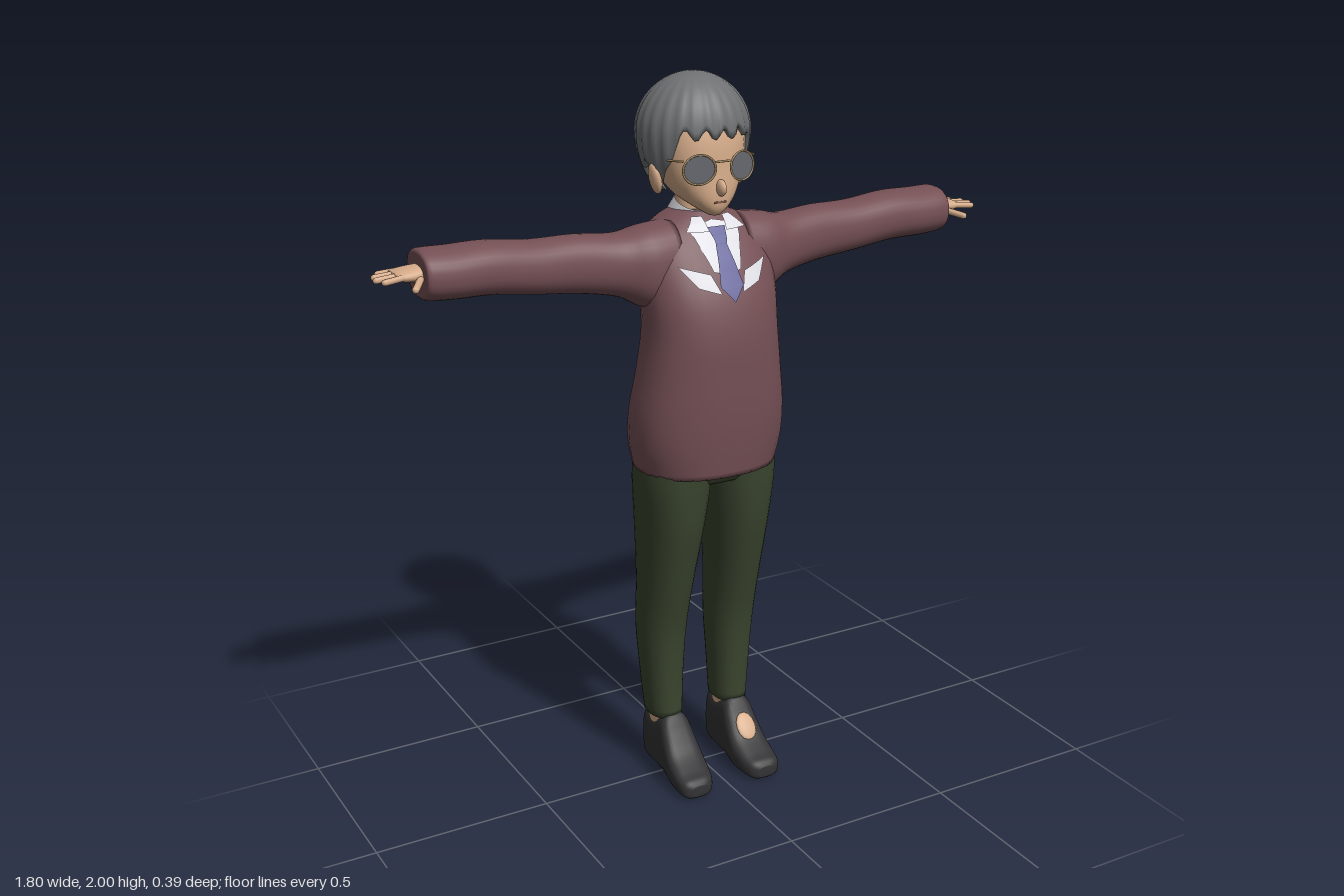
import * as THREE from 'three';

const material = (name, color, side = THREE.FrontSide) => {
  const m = new THREE.MeshStandardMaterial({ color, side });
  m.name = name;
  return m;
};

// Smoothly samples rows of [position, a0, a1, b0, b1] at u = 0..rows-1
function sampleRow(rows, u) {
  const last = rows.length - 1, i = Math.min(Math.floor(u), last - 1), f = u - i;
  const at = k => rows[Math.max(0, Math.min(last, k))];
  return rows[0].map((_, c) => {
    const [p, q, r, s] = [at(i - 1)[c], at(i)[c], at(i + 1)[c], at(i + 2)[c]];
    return q + 0.5 * f * (r - p + f * (2 * p - 5 * q + 4 * r - s + f * (3 * (q - r) + s - p)));
  });
}

function gridGeometry(points, index) {
  const g = new THREE.BufferGeometry();
  g.setAttribute('position', new THREE.Float32BufferAttribute(points, 3));
  g.setIndex(index);
  g.computeVertexNormals();
  return g;
}

// Rounded cross-sections along an axis: y has x/z extents, x has y/z extents, z has x/y extents
function loft(axis, rows, power = 2.3, sides = 32, steps = 4) {
  const pts = [], idx = [], count = (rows.length - 1) * steps;
  const place = (t, a, b) => pts.push(...(axis === 'y' ? [a, t, b] : axis === 'x' ? [t, a, b] : [a, b, t]));
  const face = (a, b, c) => idx.push(...(axis === 'y' ? [a, b, c] : [a, c, b]));
  const bend = v => Math.sign(v) * Math.abs(v) ** (2 / power);
  for (let i = 0; i <= count; i++) {
    const [t, a0, a1, b0, b1] = sampleRow(rows, i / steps);
    for (let j = 0; j < sides; j++) {
      const w = j / sides * Math.PI * 2;
      place(t, (a0 + a1) / 2 + (a1 - a0) / 2 * bend(Math.cos(w)), (b0 + b1) / 2 + (b1 - b0) / 2 * bend(Math.sin(w)));
    }
  }
  for (let i = 0; i < count; i++) for (let j = 0; j < sides; j++) {
    const a = i * sides + j, b = i * sides + (j + 1) % sides;
    face(a, a + sides, b);
    face(b, a + sides, b + sides);
  }
  [0, count].forEach(i => {
    const [t, a0, a1, b0, b1] = rows[i ? rows.length - 1 : 0], c = pts.length / 3;
    place(t, (a0 + a1) / 2, (b0 + b1) / 2);
    for (let j = 0; j < sides; j++) {
      const a = i * sides + j, b = i * sides + (j + 1) % sides;
      i ? face(a, c, b) : face(a, b, c);
    }
  });
  return gridGeometry(pts, idx);
}

const torsoRows = [
  [0.95, -0.197, 0.197, -0.15, 0.175], [1.03, -0.214, 0.214, -0.148, 0.185],
  [1.12, -0.214, 0.214, -0.135, 0.192], [1.22, -0.2, 0.2, -0.115, 0.195],
  [1.34, -0.186, 0.186, -0.1, 0.193], [1.44, -0.188, 0.188, -0.098, 0.17],
  [1.53, -0.185, 0.185, -0.1, 0.125], [1.59, -0.165, 0.165, -0.1, 0.085],
  [1.625, -0.12, 0.12, -0.1, 0.055], [1.65, -0.06, 0.06, -0.09, 0.03]];

// Depth of the chest surface
function chestZ(x, y) {
  let i = 0;
  while (i < torsoRows.length - 2 && torsoRows[i + 1][0] < y) i++;
  const f = Math.min(1, (y - torsoRows[i][0]) / (torsoRows[i + 1][0] - torsoRows[i][0]));
  const r = sampleRow(torsoRows, i + f);
  return (r[3] + r[4]) / 2 + (r[4] - r[3]) / 2 * Math.max(0, 1 - Math.abs(x / r[2]) ** 2.3) ** (1 / 2.3);
}

// Cloth patch laid over the chest: corners run counter-clockwise from lower left
function patch([a, b, c, d], lift, n = 8) {
  const pts = [], idx = [], mix = THREE.MathUtils.lerp;
  for (let j = 0; j <= n; j++) for (let i = 0; i <= n; i++) {
    const [x, y] = [0, 1].map(k => mix(mix(a[k], b[k], i / n), mix(d[k], c[k], i / n), j / n));
    pts.push(x, y, chestZ(x, y) + lift);
    if (i < n && j < n) {
      const k = j * (n + 1) + i;
      idx.push(k, k + 1, k + n + 1, k + 1, k + n + 2, k + n + 1);
    }
  }
  return gridGeometry(pts, idx);
}

// Hair cap whose lower edge changes with the angle from the front
function hairCap() {
  const pts = [], idx = [], cols = 96, rows = 16, smooth = THREE.MathUtils.smoothstep;
  for (let j = 0; j <= cols; j++) {
    const w = j / cols * Math.PI * 2, q = Math.abs(w > Math.PI ? w - Math.PI * 2 : w);
    let edge = 1.855 - 0.115 * smooth(q, 0.65, 1.15) + 0.03 * smooth(q, 1.3, 1.5) - 0.075 * smooth(q, 1.75, 2.2);
    edge += 0.014 * Math.sin(w * 16 + Math.sin(w * 3));
    const end = Math.acos((edge - 1.85) / (edge > 1.85 ? 0.15 : 0.2));
    for (let i = 0; i <= rows; i++) {
      const p = end * Math.min(i, rows - 1) / (rows - 1), tuck = i === rows ? 0.88 : 1;
      const r = Math.sin(p) * (1 + 0.018 * Math.sin(w * 24) * Math.sin(p)) * tuck, h = Math.cos(p);
      pts.push(0.152 * r * Math.sin(w), 1.85 + h * (h > 0 ? 0.15 : 0.2), -0.045 + 0.146 * r * Math.cos(w));
      if (i < rows && j < cols) {
        const k = j * (rows + 1) + i;
        idx.push(k, k + 1, k + rows + 1, k + 1, k + rows + 2, k + rows + 1);
      }
    }
  }
  return gridGeometry(pts, idx);
}

// Rounded rod between two points
function rod(from, to, radius) {
  const a = new THREE.Vector3(...from), b = new THREE.Vector3(...to), d = b.clone().sub(a);
  const g = new THREE.CapsuleGeometry(radius, d.length(), 4, 8);
  g.applyQuaternion(new THREE.Quaternion().setFromUnitVectors(new THREE.Vector3(0, 1, 0), d.normalize()));
  return g.translate(...a.add(b).multiplyScalar(0.5).toArray());
}

export function createModel() {
  const skin = material('skin', 0xd6ac8a);
  const hair = material('hair grey', 0x6e7072, THREE.DoubleSide);
  const knit = material('sweater maroon', 0x755055);
  const cloth = material('trouser green', 0x3a442e);
  const leather = material('shoe black', 0x333335);
  const white = material('shirt white', 0xdedee4, THREE.DoubleSide);
  const violet = material('tie violet', 0x66659c, THREE.DoubleSide);
  const glass = material('lens grey', 0x66696f, THREE.DoubleSide);
  const metal = material('frame tan', 0xa58a62);
  const dark = material('mouth brown', 0x805848);

  const model = new THREE.Group();
  const add = (name, geometry, mat, parent = model) => {
    const mesh = new THREE.Mesh(geometry, mat);
    mesh.name = name;
    parent.add(mesh);
    return mesh;
  };

  // Head and neck
  add('head', loft('y', [
    [1.645, -0.015, 0.015, 0.045, 0.085], [1.665, -0.045, 0.045, -0.01, 0.098],
    [1.7, -0.082, 0.082, -0.09, 0.102], [1.76, -0.112, 0.112, -0.13, 0.098],
    [1.84, -0.125, 0.125, -0.15, 0.092], [1.91, -0.11, 0.11, -0.14, 0.07], [1.95, -0.06, 0.06, -0.09, 0.02]]), skin);
  add('neck', new THREE.CylinderGeometry(0.05, 0.056, 0.14, 20).translate(0, 1.65, -0.035), skin);
  add('nose', new THREE.SphereGeometry(1, 12, 8).scale(0.012, 0.022, 0.024).translate(0, 1.72, 0.104), skin);
  add('mouth', new THREE.BoxGeometry(0.034, 0.005, 0.006).translate(0, 1.682, 0.1), dark);
  add('hair', hairCap(), hair);
  add('glassesBridge', rod([-0.02, 1.79, 0.113], [0.02, 1.79, 0.113], 0.003), metal);

  // Sweater body, hips, shirt collar and tie
  add('sweaterBody', loft('y', torsoRows), knit);
  add('hips', loft('y', [
    [0.915, -0.19, 0.19, -0.11, 0.12], [0.95, -0.192, 0.192, -0.115, 0.14], [1.02, -0.19, 0.19, -0.115, 0.14]]), cloth);
  const collar = add('collarBand', new THREE.CylinderGeometry(0.06, 0.078, 0.055, 28, 1, true), white);
  collar.position.set(0, 1.642, -0.03);
  collar.rotation.x = 0.35;
  add('tieKnot', patch([[-0.016, 1.575], [0.016, 1.575], [0.026, 1.615], [-0.026, 1.615]], 0.016), violet);
  add('tieBlade', patch([[-0.034, 1.475], [0.034, 1.475], [0.015, 1.58], [-0.015, 1.58]], 0.012), violet);
  add('tieTip', patch([[0, 1.435], [0, 1.435], [0.034, 1.475], [-0.034, 1.475]], 0.012), violet);

  // Everything that comes in left and right pairs
  for (const side of [1, -1]) {
    const half = new THREE.Group();
    half.name = side > 0 ? 'leftSide' : 'rightSide';
    half.scale.x = side;
    model.add(half);
    const part = (name, geometry, mat) => add(name, geometry, mat, half);

    part('ear', new THREE.SphereGeometry(1, 14, 10).scale(0.014, 0.042, 0.026).rotateZ(-0.2).translate(0.125, 1.735, -0.02), skin);
    const lens = new THREE.CircleGeometry(1, 28).scale(0.043, 0.038, 1);
    const rim = new THREE.TorusGeometry(1, 0.07, 6, 28).scale(0.043, 0.038, 0.04);
    [[lens, glass, 'lens'], [rim, metal, 'lensRim']].forEach(([g, m, name]) =>
      part(name, g.rotateZ(-0.2).rotateY(0.3).translate(0.063, 1.772, 0.104), m));
    part('glassesArm', rod([0.104, 1.795, 0.09], [0.13, 1.785, -0.02], 0.003), metal);

    part('shirtFront', patch([[0, 1.5], [0.04, 1.51], [0.075, 1.615], [0, 1.63]], 0.006), white);
    part('shirtWing', patch([[0.03, 1.455], [0.09, 1.475], [0.13, 1.528], [0.05, 1.505]], 0.006), white);
    part('collarFlap', patch([[0.025, 1.605], [0.088, 1.607], [0.055, 1.64], [0.03, 1.64]], 0.02), white);

    // Sleeve and hand
    part('sleeve', loft('x', [
      [0.1, 1.4, 1.63, -0.09, 0.09], [0.18, 1.405, 1.622, -0.095, 0.09], [0.25, 1.44, 1.607, -0.088, 0.065],
      [0.36, 1.462, 1.615, -0.085, 0.05], [0.48, 1.475, 1.615, -0.092, 0.05], [0.6, 1.49, 1.627, -0.1, 0.052],
      [0.7, 1.492, 1.625, -0.11, 0.055], [0.77, 1.497, 1.625, -0.11, 0.05], [0.782, 1.51, 1.615, -0.1, 0.04]]), knit);
    part('palm', loft('x', [
      [0.76, 1.545, 1.59, -0.06, 0.01], [0.8, 1.548, 1.585, -0.072, 0.016],
      [0.83, 1.552, 1.58, -0.074, 0.014], [0.845, 1.558, 1.574, -0.07, 0.01]]), skin);
    [0.88, 0.892, 0.887, 0.868].forEach((x, i) =>
      part('finger', rod([0.83, 1.567, 0.006 - i * 0.024], [x, 1.563, 0.014 - i * 0.029], 0.0085), skin));
    part('thumb', rod([0.785, 1.56, 0.005], [0.82, 1.548, 0.06], 0.0095), skin);

    // Trouser leg, ankle and shoe
    part('trouserLeg', loft('y', [
      [0.18, 0.058, 0.155, -0.1, 0.03], [0.3, 0.053, 0.165, -0.11, 0.032], [0.45, 0.045, 0.175, -0.122, 0.045],
      [0.6, 0.038, 0.178, -0.116, 0.08], [0.78, 0.02, 0.188, -0.118, 0.122], [0.9, 0.006, 0.197, -0.115, 0.138],
      [0.97, 0, 0.195, -0.112, 0.142]]), cloth);
    part('ankle', loft('y', [
      [0.08, 0.07, 0.14, -0.085, 0.02], [0.16, 0.068, 0.142, -0.085, 0.025], [0.22, 0.068, 0.142, -0.085, 0.02]]), skin);
    part('shoe', loft('z', [
      [-0.105, 0.085, 0.13, 0.01, 0.13], [-0.092, 0.068, 0.142, 0, 0.172], [-0.03, 0.06, 0.147, 0, 0.175],
      [0.025, 0.055, 0.152, 0, 0.192], [0.06, 0.05, 0.157, 0, 0.15], [0.1, 0.047, 0.162, 0, 0.1],
      [0.15, 0.053, 0.162, 0, 0.068], [0.18, 0.065, 0.155, 0, 0.055], [0.193, 0.085, 0.135, 0.008, 0.04]], 3), leather);
    if (side > 0) part('instep', new THREE.SphereGeometry(1, 14, 10).scale(0.03, 0.008, 0.042).rotateX(0.9).translate(0.103, 0.121, 0.084), skin);
  }
  return model;
}
